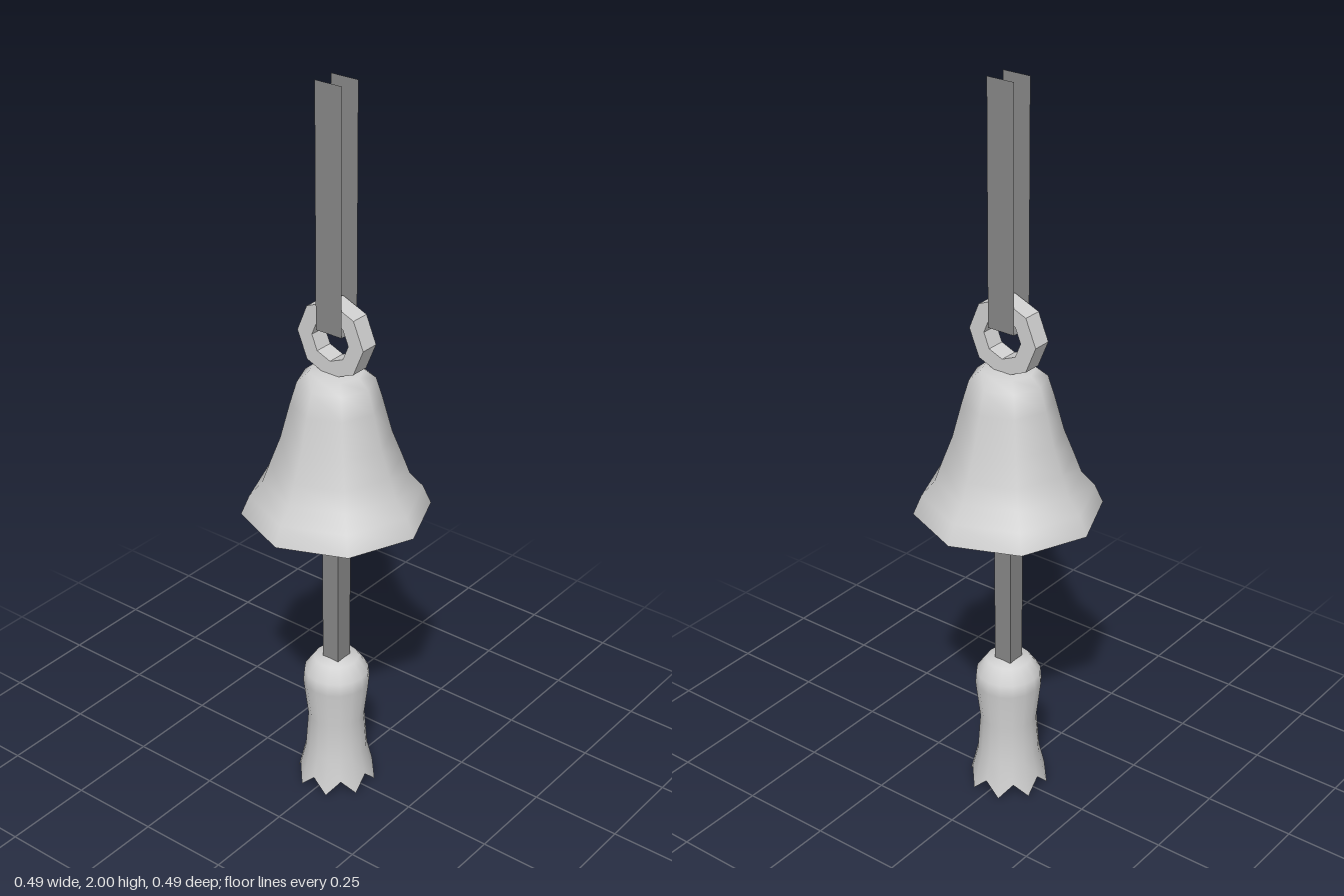
import * as THREE from 'three';

const light = new THREE.MeshStandardMaterial({ color: 0xd0d0d0 });
light.name = 'pale metal';
const lightOpen = light.clone();
lightOpen.side = THREE.DoubleSide;
lightOpen.name = 'pale metal, two sided';
const dark = new THREE.MeshStandardMaterial({ color: 0x888888, side: THREE.DoubleSide });
dark.name = 'grey cord';

// Profile points are [radius, y]; going upward faces outward
function lathe(points, sides) {
  return new THREE.LatheGeometry(points.map(([r, y]) => new THREE.Vector2(r, y)), sides);
}

function add(parent, name, geometry, material) {
  const mesh = new THREE.Mesh(geometry, material);
  mesh.name = name;
  parent.add(mesh);
  return mesh;
}

// Flat octagonal ring standing in the xy plane
function ringGeometry(outer, inner, depth) {
  const corners = (r) => Array.from({ length: 8 }, (_, i) =>
    new THREE.Vector2(r * Math.cos(i * Math.PI / 4), r * Math.sin(i * Math.PI / 4)));
  const shape = new THREE.Shape(corners(outer));
  shape.holes.push(new THREE.Path(corners(inner)));
  return new THREE.ExtrudeGeometry(shape, { depth, bevelEnabled: false })
    .translate(0, 0, -depth / 2);
}

// Open-ended tube with a scalloped lower edge
function tasselGeometry() {
  const profile = [[0.105, 0], [0.085, 0.1], [0.077, 0.21], [0.09, 0.32],
    [0.087, 0.355], [0.06, 0.393], [0, 0.4]];
  const sides = 16;
  const geometry = lathe(profile, sides);
  const pos = geometry.attributes.position;
  for (let i = 0; i <= sides; i++) {
    const k = i * profile.length;
    if (i % 2 === 0) pos.setXYZ(k, pos.getX(k) * 0.95, 0.04, pos.getZ(k) * 0.95);
    else pos.setXYZ(k, pos.getX(k) * 1.04, 0, pos.getZ(k) * 1.04);
  }
  return geometry;
}

export function createModel() {
  const model = new THREE.Group();
  model.name = 'hangingBell';

  // Bell: outer skin, rim and hollow inside
  const bell = new THREE.Group();
  bell.name = 'bell';
  model.add(bell);
  add(bell, 'bellOuter', lathe([[0.247, 0.853], [0.225, 0.905], [0.19, 0.945], [0.17, 1.0],
    [0.143, 1.07], [0.118, 1.165], [0.1, 1.225], [0.07, 1.25], [0, 1.252]], 8), light);
  add(bell, 'bellRim', lathe([[0.2, 0.853], [0.247, 0.853]], 8), light);
  add(bell, 'bellInner', lathe([[0, 1.21], [0.07, 1.2], [0.11, 1.07], [0.145, 0.97],
    [0.2, 0.853]], 8), light);

  // Clapper ball
  add(model, 'clapper', lathe([[0, 0.753], [0.078, 0.775], [0.103, 0.86], [0.078, 0.935],
    [0, 0.96]], 8), light);

  // Square cord down to the tassel
  const cord = add(model, 'cord', new THREE.BoxGeometry(0.052, 0.44, 0.052), dark);
  cord.position.y = 0.59;

  add(model, 'tassel', tasselGeometry(), lightOpen);

  // Hanging ring
  const ring = add(model, 'hangingRing', ringGeometry(0.103, 0.057, 0.052), light);
  ring.position.y = 1.343;

  // Ribbon looped through the ring: two uprights and a short bottom
  const strap = new THREE.Group();
  strap.name = 'strap';
  model.add(strap);
  for (const side of [1, -1]) {
    const upright = add(strap, 'strapUpright', new THREE.PlaneGeometry(0.08, 0.638), dark);
    upright.position.set(0, 1.681, side * 0.031);
    if (side < 0) upright.rotation.y = Math.PI;
  }
  const bottom = add(strap, 'strapBottom', new THREE.PlaneGeometry(0.08, 0.062), dark);
  bottom.position.y = 1.362;
  bottom.rotation.x = Math.PI / 2;

  return model;
}
